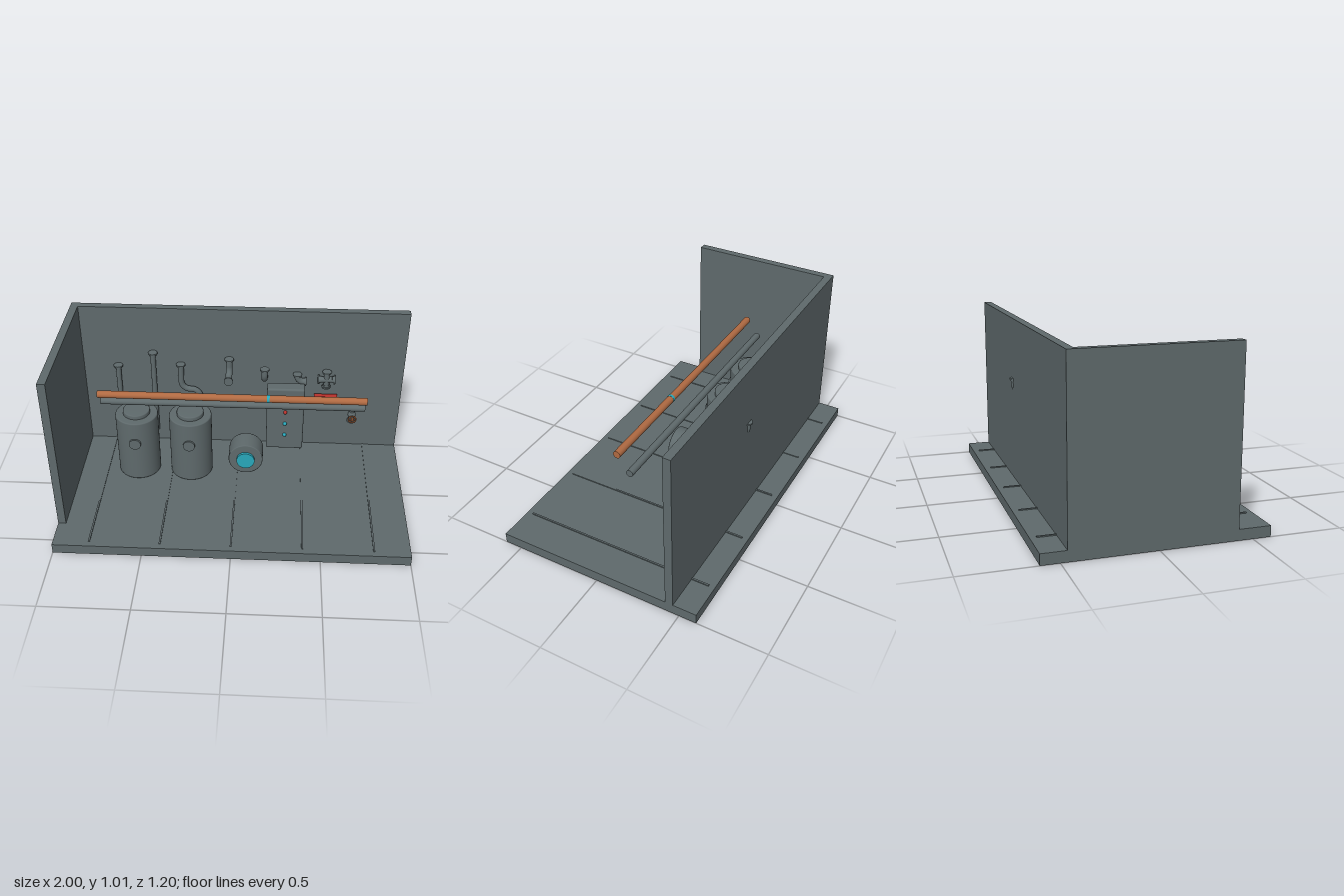
import * as THREE from 'three';
import { RoundedBoxGeometry } from 'three/addons/geometries/RoundedBoxGeometry.js';

const mat = (name, color) => {
  const m = new THREE.MeshStandardMaterial({ color });
  m.name = name;
  return m;
};
const V = (x, y, z) => new THREE.Vector3(x, y, z);

export function createModel() {
  const model = new THREE.Group();
  model.name = 'boilerRoom';
  const grey = mat('slateGrey', 0x5f6a6c);
  const copper = mat('copper', 0xb06a42);
  const cyan = mat('cyan', 0x29a8bb);
  const red = mat('red', 0xb8322c);

  const add = (name, geo, material, pos = [0, 0, 0], parent = model) => {
    const mesh = new THREE.Mesh(geo, material);
    mesh.name = name;
    mesh.position.set(...pos);
    parent.add(mesh);
    return mesh;
  };
  // Box given by its minimum and maximum corners
  const box = (name, a, b, material, round = 0) => {
    const s = a.map((v, i) => b[i] - v);
    const geo = round ? new RoundedBoxGeometry(...s, 3, round) : new THREE.BoxGeometry(...s);
    return add(name, geo, material, a.map((v, i) => (v + b[i]) / 2));
  };
  // Cylinder between two points
  const rod = (name, a, b, r, material, parent = model) => {
    const dir = b.clone().sub(a);
    const mesh = add(name, new THREE.CylinderGeometry(r, r, dir.length(), 32), material,
      a.clone().add(b).multiplyScalar(0.5).toArray(), parent);
    mesh.quaternion.setFromUnitVectors(V(0, 1, 0), dir.normalize());
    return mesh;
  };
  // Solid drum with softened rims, standing on its origin
  const drumGeo = (r, h, e) => new THREE.LatheGeometry([
    [0, 0], [r - e, 0], [r - 0.3 * e, 0.3 * e], [r, e], [r, h - e],
    [r - 0.3 * e, h - 0.3 * e], [r - e, h], [0, h],
  ].map(p => new THREE.Vector2(...p)), 48);

  // Floor, walls and floor seams
  box('floor', [-1, 0, -0.6], [1, 0.06, 0.6], grey);
  box('backWall', [-1, 0.06, -0.465], [1, 1.012, -0.42], grey);
  box('sideWall', [-1, 0.06, -0.42], [-0.955, 1.012, 0.422], grey);
  for (let i = -2; i <= 2; i++) {
    box('floorSeam', [i * 0.398 - 0.005, 0.06, -0.565], [i * 0.398 + 0.005, 0.066, 0.565], grey);
  }

  // Two tanks with lid and front port
  for (const x of [-0.6, -0.278]) {
    const tank = new THREE.Group();
    tank.name = 'tank';
    tank.position.set(x, 0.06, -0.128);
    model.add(tank);
    add('tankBody', drumGeo(0.127, 0.408, 0.008), grey, [0, 0, 0], tank);
    add('tankLid', drumGeo(0.08, 0.032, 0.006), grey, [0, 0.402, 0], tank);
    rod('tankPort', V(0, 0.265, 0.1), V(0, 0.265, 0.137), 0.035, grey, tank);
  }

  // Pump drum with a cyan face
  const pump = add('pumpDrum', drumGeo(0.101, 0.13, 0.006), grey, [0.06, 0.267, -0.09]);
  pump.rotation.x = Math.PI / 2;
  rod('pumpFace', V(0.06, 0.267, 0.035), V(0.06, 0.267, 0.056), 0.053, cyan);

  // Control cabinet with indicator lamps, and the red wall box
  box('cabinet', [0.175, 0.095, -0.385], [0.405, 0.54, -0.305], grey, 0.012);
  [[0.375, red], [0.29, cyan], [0.205, cyan]].forEach(([y, m]) =>
    add('lamp', new THREE.SphereGeometry(0.012, 20, 14), m, [0.29, y, -0.301]));
  box('wallBox', [0.465, 0.375, -0.4], [0.605, 0.455, -0.368], red);

  // Long overhead pipes
  rod('copperPipe', V(-0.793, 0.677, 0), V(0.744, 0.677, 0), 0.021, copper);
  rod('pipeBand', V(0.177, 0.677, 0), V(0.193, 0.677, 0), 0.0225, cyan);
  rod('greyPipe', V(-0.793, 0.582, -0.073), V(0.744, 0.582, -0.073), 0.02, grey);

  // Flange disc with a thinner collar behind it, facing along dir
  const flange = (p, dir, parent) => {
    const at = d => p.clone().addScaledVector(dir, d);
    rod('flange', at(-0.009), p, 0.028, grey, parent);
    rod('flangeCollar', at(-0.02), at(-0.009), 0.021, grey, parent);
  };
  // Pipe through points with rounded corners and flanges at chosen ends
  const fitting = (name, pts, bend, r = 0.017, startFlange = true, endFlange = true) => {
    const g = new THREE.Group();
    g.name = name;
    model.add(g);
    const path = new THREE.CurvePath();
    let from = pts[0];
    const n = pts.length - 1;
    for (let i = 1; i < n; i++) {
      const inP = pts[i].clone().add(pts[i - 1].clone().sub(pts[i]).setLength(bend));
      const outP = pts[i].clone().add(pts[i + 1].clone().sub(pts[i]).setLength(bend));
      if (from.distanceTo(inP) > 1e-4) path.add(new THREE.LineCurve3(from, inP));
      const k = 0.5523;
      path.add(new THREE.CubicBezierCurve3(inP, inP.clone().lerp(pts[i], k), outP.clone().lerp(pts[i], k), outP));
      from = outP;
    }
    if (from.distanceTo(pts[n]) > 1e-4) path.add(new THREE.LineCurve3(from, pts[n]));
    add('pipe', new THREE.TubeGeometry(path, 40, r, 20), grey, [0, 0, 0], g);
    const ends = [[pts[0], pts[1], startFlange], [pts[n], pts[n - 1], endFlange]];
    for (const [p, q, on] of ends) {
      const dir = p.clone().sub(q).normalize();
      if (on) flange(p, dir, g);
      else rod('pipeEnd', p.clone().addScaledVector(dir, -0.002), p, r, grey, g);
    }
  };

  // Wall pipes
  const z = -0.393;
  fitting('shortWallPipe', [V(-0.74, 0.63, z), V(-0.74, 0.39, z)], 0, 0.016, true, false);
  fitting('tallWallPipe', [V(-0.523, 0.725, z), V(-0.523, 0.155, z)], 0, 0.016, true, false);
  fitting('offsetPipe', [V(-0.356, 0.647, z), V(-0.356, 0.47, z), V(-0.24, 0.47, z), V(-0.24, 0.26, z)], 0.055, 0.018, true, false);
  fitting('forwardElbow', [V(-0.06, 0.693, z), V(-0.06, 0.585, z), V(-0.06, 0.585, -0.305)], 0.06, 0.02);
  fitting('returnBend', [V(0.157, 0.665, -0.335), V(0.157, 0.57, -0.335), V(0.157, 0.57, -0.455), V(0.157, 0.665, -0.455)], 0.0599, 0.019);
  fitting('sideElbow', [V(0.357, 0.598, z), V(0.357, 0.547, z), V(0.412, 0.547, z)], 0.04, 0.02);
  fitting('crossVertical', [V(0.535, 0.622, z), V(0.535, 0.51, z)], 0, 0.018);
  fitting('crossHorizontal', [V(0.482, 0.565, z), V(0.588, 0.565, z)], 0, 0.018);

  // Valve with bulged body, stem and copper handwheel
  fitting('valvePipe', [V(0.706, 0.372, -0.383), V(0.706, 0.268, -0.383)], 0, 0.016);
  const body = add('valveBody', new THREE.SphereGeometry(0.025, 24, 16), grey, [0.706, 0.318, -0.383]);
  body.scale.y = 1.1;
  rod('valveStem', V(0.706, 0.318, -0.383), V(0.706, 0.318, -0.322), 0.007, grey);
  const wheel = new THREE.Group();
  wheel.name = 'handwheel';
  wheel.position.set(0.706, 0.318, -0.328);
  model.add(wheel);
  add('wheelRim', new THREE.TorusGeometry(0.023, 0.0045, 10, 32), copper, [0, 0, 0], wheel);
  for (let i = 0; i < 2; i++) {
    const a = Math.PI / 4 + i * Math.PI / 2;
    const tip = V(Math.cos(a) * 0.023, Math.sin(a) * 0.023, 0);
    rod('wheelSpoke', tip.clone().negate(), tip, 0.0035, copper, wheel);
  }
  rod('wheelHub', V(0, 0, -0.006), V(0, 0, 0.007), 0.008, copper, wheel);

  return model;
}
